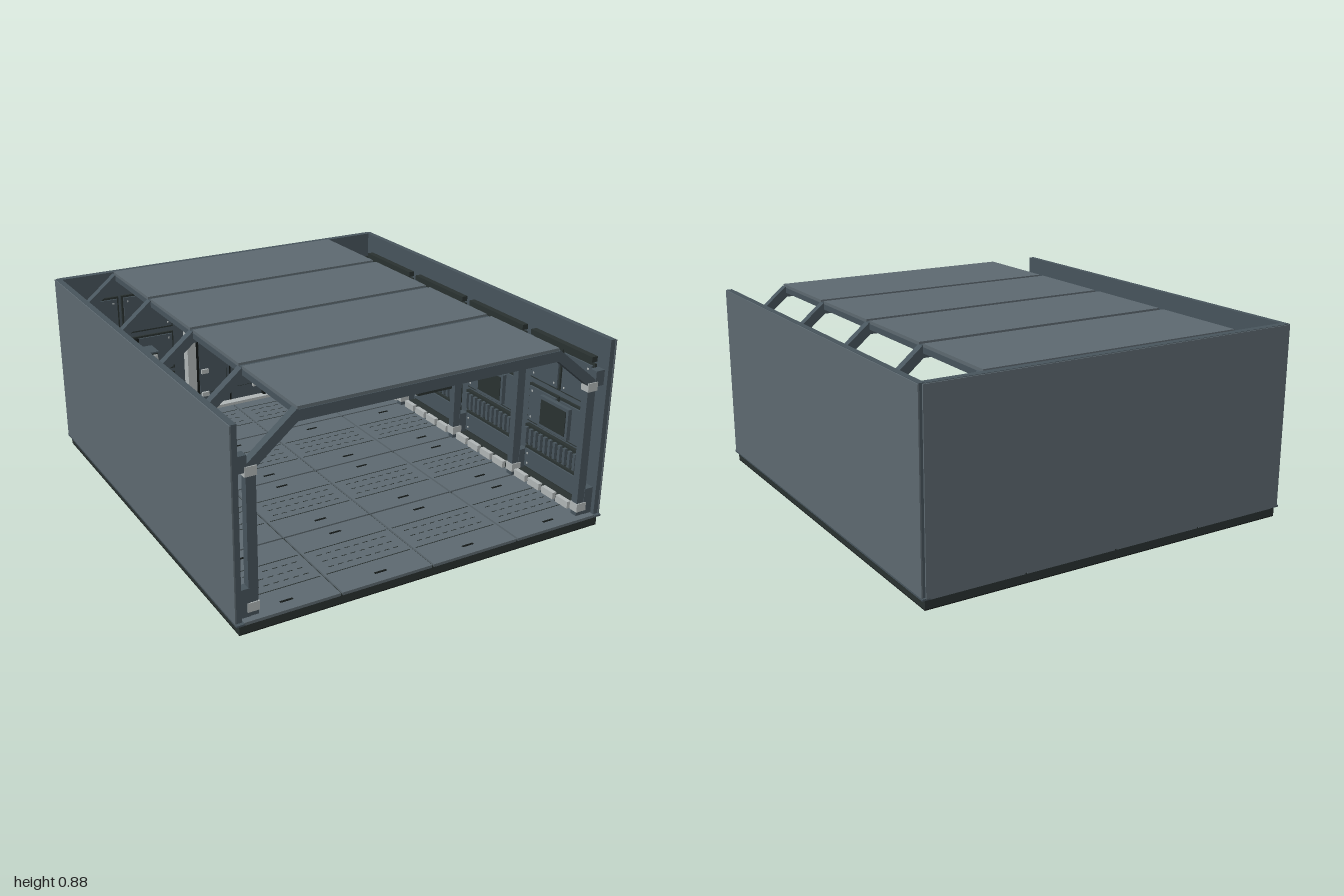
import * as THREE from 'three';

const mat = (name, color) => new THREE.MeshStandardMaterial({ name, color });

export function createModel() {
  const M = {
    slate: mat('slate', 0x5e6a71),
    deep: mat('deep slate', 0x48555d),
    dark: mat('charcoal', 0x2a3231),
    black: mat('black', 0x141918),
    pale: mat('pale metal', 0xb2b8b8),
  };
  const model = new THREE.Group();
  model.name = 'hangarRoom';

  // Box given by its min and max corners
  const box = (parent, name, m, x0, x1, y0, y1, z0, z1) => {
    const mesh = new THREE.Mesh(new THREE.BoxGeometry(x1 - x0, y1 - y0, z1 - z0), m);
    mesh.position.set((x0 + x1) / 2, (y0 + y1) / 2, (z0 + z1) / 2);
    mesh.name = name;
    parent.add(mesh);
    return mesh;
  };
  const group = (name, parent = model) => {
    const g = new THREE.Group();
    g.name = name;
    parent.add(g);
    return g;
  };

  // Framed wall panel with corner bolts, facing +z from z = 0
  const panel = (parent, x0, x1, y0, y1) => {
    const g = group('wallPanel', parent);
    box(g, 'panelFrame', M.dark, x0, x1, y0, y1, 0, 0.012);
    box(g, 'panelFace', M.deep, x0 + 0.01, x1 - 0.01, y0 + 0.01, y1 - 0.01, 0.002, 0.02);
    for (const x of [x0 + 0.03, x1 - 0.03]) for (const y of [y0 + 0.03, y1 - 0.03])
      box(g, 'panelBolt', M.pale, x - 0.004, x + 0.004, y - 0.004, y + 0.004, 0.018, 0.023);
  };

  // Base slab
  box(model, 'baseSlab', M.dark, -0.885, 0.885, 0.004, 0.042, -0.985, 0.985);
  box(model, 'baseUnderside', M.black, -0.885, 0.885, 0, 0.004, -0.985, 0.985);

  // Floor: four by four tiles with slots and grip lines
  const floor = group('floor');
  const xs = [-0.87, -0.436, 0, 0.436, 0.87], zs = [-0.995, -0.495, 0, 0.495, 0.995];
  box(floor, 'floorBed', M.dark, -0.87, 0.87, 0.04, 0.046, -0.985, 0.985);
  for (let i = 0; i < 4; i++) for (let j = 0; j < 4; j++) {
    const a = xs[i] + 0.005, b = xs[i + 1] - 0.005, c = zs[j] + 0.005, d = zs[j + 1] - 0.005;
    const mx = (a + b) / 2;
    box(floor, 'floorTile', M.slate, a, b, 0.042, 0.055, c, d);
    for (const z of [c + 0.06, d - 0.06])
      box(floor, 'tileSlot', M.black, mx - 0.028, mx + 0.028, 0.054, 0.057, z - 0.005, z + 0.005);
    for (const z of [c + 0.15, d - 0.15])
      box(floor, 'tileSeam', M.dark, a + 0.01, b - 0.01, 0.054, 0.056, z - 0.002, z + 0.002);
    for (const z of [-0.05, 0, 0.05]) for (let k = 0; k < 8; k++) {
      const x = a + 0.045 + k * 0.045;
      box(floor, 'gripDash', M.dark, x, x + 0.025, 0.054, 0.056, (c + d) / 2 + z - 0.002, (c + d) / 2 + z + 0.002);
    }
  }

  // Outer walls: deep slate core with a lighter outer skin
  const back = group('backWall');
  box(back, 'backCore', M.deep, -0.872, 0.872, 0.05, 0.88, -0.992, -0.96);
  box(back, 'backSkin', M.slate, -0.885, 0.885, 0.052, 0.878, -0.998, -0.991);
  for (const s of [1, -1]) {
    const wall = group(s > 0 ? 'leftWall' : 'rightWall');
    const sx = (n, m, x0, x1, ...r) => box(wall, n, m, Math.min(s * x0, s * x1), Math.max(s * x0, s * x1), ...r);
    sx('wallCore', M.deep, 0.87, 0.895, 0.05, 0.88, -0.985, 0.98);
    sx('wallSkin', M.slate, 0.894, 0.9, 0.052, 0.878, -0.988, 0.983);
    sx('wallFoot', M.deep, 0.865, 0.9, 0.045, 0.053, -0.995, 0.995);

    // Inner lining of each bay
    for (let j = 0; j < 4; j++) {
      const zc = -0.705 + j * 0.47;
      const bay = group('wallBay', wall);
      bay.position.set(s * 0.87, 0, zc);
      bay.rotation.y = -s * Math.PI / 2;
      for (const [y0, y1] of [[0.33, 0.52], [0.55, 0.75]]) {
        panel(bay, -0.205, -0.004, y0, y1);
        panel(bay, 0.004, 0.205, y0, y1);
      }
      panel(bay, -0.205, 0.205, 0.09, 0.2);
      box(bay, 'ventStrip', M.dark, -0.205, 0.205, 0.215, 0.315, 0, 0.02);
      for (let k = 0; k < 12; k++) {
        const x = -0.187 + k * 0.034;
        box(bay, 'ventFin', M.deep, x - 0.008, x + 0.008, 0.225, 0.305, 0.018, 0.035);
      }
      box(bay, 'topStrip', M.dark, -0.205, 0.205, 0.76, 0.785, 0, 0.03);
      box(bay, 'consoleBox', M.deep, -0.1, 0.1, 0.35, 0.5, 0.015, 0.04);
      box(bay, 'consolePanel', M.dark, -0.085, 0.085, 0.365, 0.485, 0.038, 0.043);
      box(bay, 'railBacking', M.dark, -0.205, 0.205, 0.06, 0.085, 0, 0.065);
      for (let k = 0; k < 4; k++) {
        const x = -0.15 + k * 0.1;
        box(bay, 'paleRail', M.pale, x - 0.04, x + 0.04, 0.062, 0.095, 0.06, 0.082);
      }
    }

    // Panels, cabinet and name plate on the back wall
    const side = group('backWallSide', back);
    side.position.z = -0.96;
    for (const [y0, y1] of [[0.09, 0.3], [0.32, 0.525], [0.55, 0.755]])
      for (const [x0, x1] of [[0.315, 0.583], [0.598, 0.865]])
        s > 0 ? panel(side, x0, x1, y0, y1) : panel(side, -x1, -x0, y0, y1);
    const cab = group('drawerCabinet', side);
    cab.position.x = s * 0.6;
    box(cab, 'cabinetBody', M.deep, -0.16, 0.16, 0.18, 0.47, 0, 0.12);
    for (let k = 0; k < 3; k++) {
      const y = 0.197 + k * 0.09;
      box(cab, 'drawerGap', M.dark, -0.153, 0.153, y - 0.005, y + 0.086, 0.115, 0.122);
      box(cab, 'drawerFront', M.pale, -0.148, 0.148, y, y + 0.08, 0.118, 0.136);
      box(cab, 'drawerHandle', M.black, -0.05, 0.05, y + 0.034, y + 0.047, 0.135, 0.155);
    }
    box(cab, 'cabinetPlate', M.black, -0.088, 0.088, 0.485, 0.522, 0.015, 0.035);
  }

  // Arched door
  const arch = (r, cy, y0) => {
    const sh = new THREE.Shape();
    sh.moveTo(-r, y0).lineTo(r, y0).lineTo(r, cy);
    sh.absarc(0, cy, r, 0, Math.PI, false);
    sh.lineTo(-r, y0);
    return sh;
  };
  const door = group('archedDoor');
  door.position.z = -0.96;
  const addArch = (name, m, rOut, rIn, z, depth) => {
    const sh = arch(rOut, 0.487, 0.06);
    if (rIn) sh.holes.push(arch(rIn, 0.487, 0.0601));
    const mesh = new THREE.Mesh(new THREE.ExtrudeGeometry(sh, { depth, bevelEnabled: false, curveSegments: 24 }), m);
    mesh.position.z = z;
    mesh.name = name;
    door.add(mesh);
  };
  addArch('doorLeaves', M.deep, 0.2, 0, 0, 0.012);
  addArch('doorSeal', M.black, 0.21, 0.188, 0, 0.035);
  addArch('doorArch', M.pale, 0.255, 0.208, 0, 0.05);
  box(door, 'doorSill', M.pale, -0.255, 0.255, 0.057, 0.072, 0, 0.055);
  box(door, 'doorSeam', M.black, -0.004, 0.004, 0.07, 0.66, 0.01, 0.015);
  for (const s of [1, -1]) {
    box(door, 'leafGroove', M.dark, s * 0.1 - 0.082, s * 0.1 + 0.082, 0.142, 0.642, 0.01, 0.014);
    box(door, 'leafPanel', M.deep, s * 0.1 - 0.078, s * 0.1 + 0.078, 0.146, 0.638, 0.01, 0.018);
    for (const y of [0.14, 0.27, 0.49])
      box(door, 'doorHinge', M.pale, s * 0.15 - 0.02, s * 0.15 + 0.02, y - 0.012, y + 0.012, 0.014, 0.03);
    for (const y of [0.2, 0.367])
      box(door, 'seamLine', M.dark, s * 0.49 - 0.002, s * 0.49 + 0.002, y, y + 0.1, 0, 0.004);
  }

  // Support frames: posts, pale joints, braces and roof beams
  const brace = new THREE.Vector2(0.2, -0.165);
  for (const z of [-0.94, -0.48, 0, 0.48, 0.94]) {
    const f = group('supportFrame');
    f.position.z = z;
    box(f, 'roofBeam', M.deep, -0.615, 0.615, 0.825, 0.871, -0.018, 0.018);
    box(f, 'beamLamp', M.dark, -0.08, 0.08, 0.812, 0.826, -0.012, 0.012);
    for (const s of [1, -1]) {
      box(f, 'post', M.deep, s * 0.808 - 0.021, s * 0.808 + 0.021, 0.055, 0.69, -0.018, 0.018);
      box(f, 'wallBracket', M.deep, s * 0.85 - 0.025, s * 0.85 + 0.025, 0.055, 0.18, -0.02, 0.02);
      box(f, 'topBracket', M.deep, s * 0.85 - 0.025, s * 0.85 + 0.025, 0.67, 0.74, -0.02, 0.02);
      for (const y of [0.095, 0.672])
        box(f, 'postJoint', M.pale, s * 0.81 - 0.026, s * 0.81 + 0.026, y - 0.02, y + 0.02, -0.023, 0.023);
      const b = box(f, 'diagonalBrace', M.deep, -0.14, 0.14, -0.021, 0.021, -0.018, 0.018);
      b.position.set(s * 0.71, 0.77, 0);
      b.rotation.z = s * brace.angle();
    }
  }

  // Roof panels with darker edging strips between them
  const roof = group('roof');
  const rz = [-0.955, -0.48, 0, 0.48, 0.955];
  for (let j = 0; j < 4; j++) {
    box(roof, 'roofPanel', M.slate, -0.612, 0.612, 0.868, 0.884, rz[j] + (j ? 0.016 : 0), rz[j + 1] - (j < 3 ? 0.016 : 0));
    if (j) box(roof, 'roofJoint', M.deep, -0.612, 0.612, 0.866, 0.876, rz[j] - 0.012, rz[j] + 0.012);
  }
  for (const s of [1, -1])
    box(roof, 'roofEdge', M.deep, s * 0.606 - 0.008, s * 0.606 + 0.008, 0.845, 0.87, -0.955, 0.955);
  return model;
}
